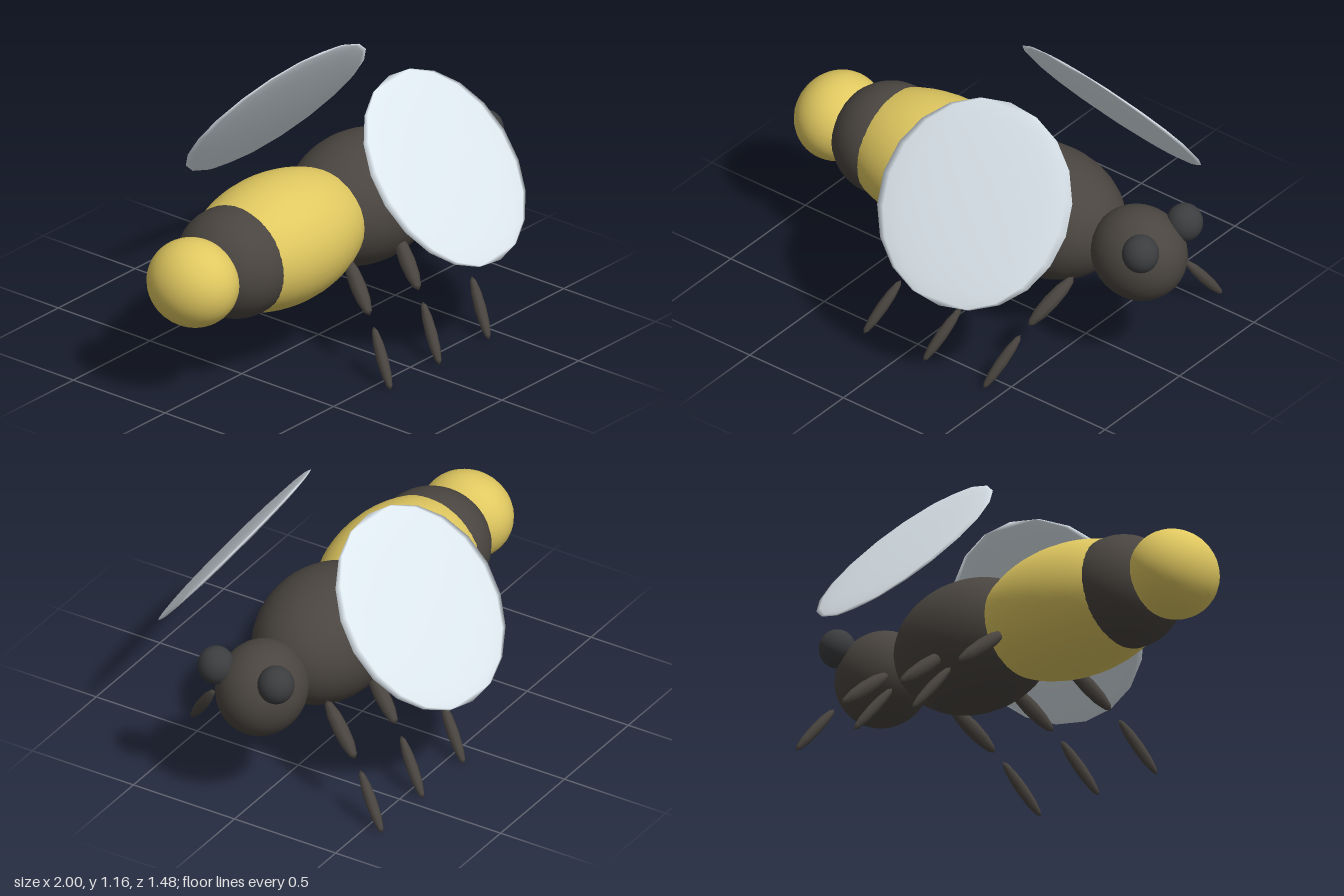
import * as THREE from 'three';

const mat = (color) => new THREE.MeshStandardMaterial({ color });

export function createModel() {
  const bee = new THREE.Group();
  const yellow = mat(0xe0c860);
  const dark = mat(0x4a4540);
  const eyeGrey = mat(0x3c3d3f);
  const wingBlue = mat(0xdde7ee);

  const round = new THREE.SphereGeometry(1, 32, 20);
  const wingDisc = new THREE.SphereGeometry(1, 16, 10);
  const spindle = new THREE.SphereGeometry(1, 8, 6);

  function ellipsoid(name, geometry, material, position, radii) {
    const mesh = new THREE.Mesh(geometry, material);
    mesh.name = name;
    mesh.position.set(...position);
    mesh.scale.set(...radii);
    bee.add(mesh);
    return mesh;
  }

  // Body: overlapping ellipsoids in a row along x, head at +x
  ellipsoid('head', round, dark, [0.785, 0.538, 0], [0.213, 0.206, 0.19]);
  ellipsoid('thorax', round, dark, [0.28, 0.538, 0], [0.375, 0.282, 0.285]);
  ellipsoid('abdomen', round, yellow, [-0.275, 0.538, 0], [0.47, 0.28, 0.295]);
  ellipsoid('abdomenStripe', round, dark, [-0.55, 0.538, 0], [0.238, 0.24, 0.252]);
  ellipsoid('tail', round, yellow, [-0.818, 0.538, 0], [0.182, 0.19, 0.204]);

  // Spindle-shaped leg segment stretched between two points
  const up = new THREE.Vector3(0, 1, 0);
  function legSegment(name, from, to, radius) {
    const a = new THREE.Vector3(...from);
    const b = new THREE.Vector3(...to);
    const mid = a.clone().add(b).multiplyScalar(0.5);
    const mesh = ellipsoid(name, spindle, dark, mid.toArray(), [radius, a.distanceTo(b) / 2, radius]);
    mesh.quaternion.setFromUnitVectors(up, b.sub(a).normalize());
  }

  for (const side of [1, -1]) {
    const label = side > 0 ? 'left' : 'right';

    ellipsoid(label + 'Eye', round, eyeGrey, [0.91, 0.665, side * 0.148], [0.078, 0.083, 0.078]);

    // Wings: thin discs leaning together at the top, front ends turned inward
    const wing = ellipsoid(label + 'Wing', wingDisc, wingBlue, [0.272, 0.812, side * 0.46], [0.45, 0.45, 0.02]);
    wing.rotation.set(-side * 0.672, side * 0.11, 0, 'YXZ');

    // Legs: three pairs, sweeping backward on one side and forward on the other
    for (let i = -1; i <= 1; i++) {
      const x = (offset) => 0.27 + i * 0.32 + side * offset;
      legSegment(label + 'UpperLeg', [x(0.0), 0.435, side * 0.195], [x(-0.085), 0.255, side * 0.392], 0.034);
      legSegment(label + 'LowerLeg', [x(-0.1), 0.22, side * 0.425], [x(-0.175), 0, side * 0.582], 0.025);
    }
  }
  return bee;
}
